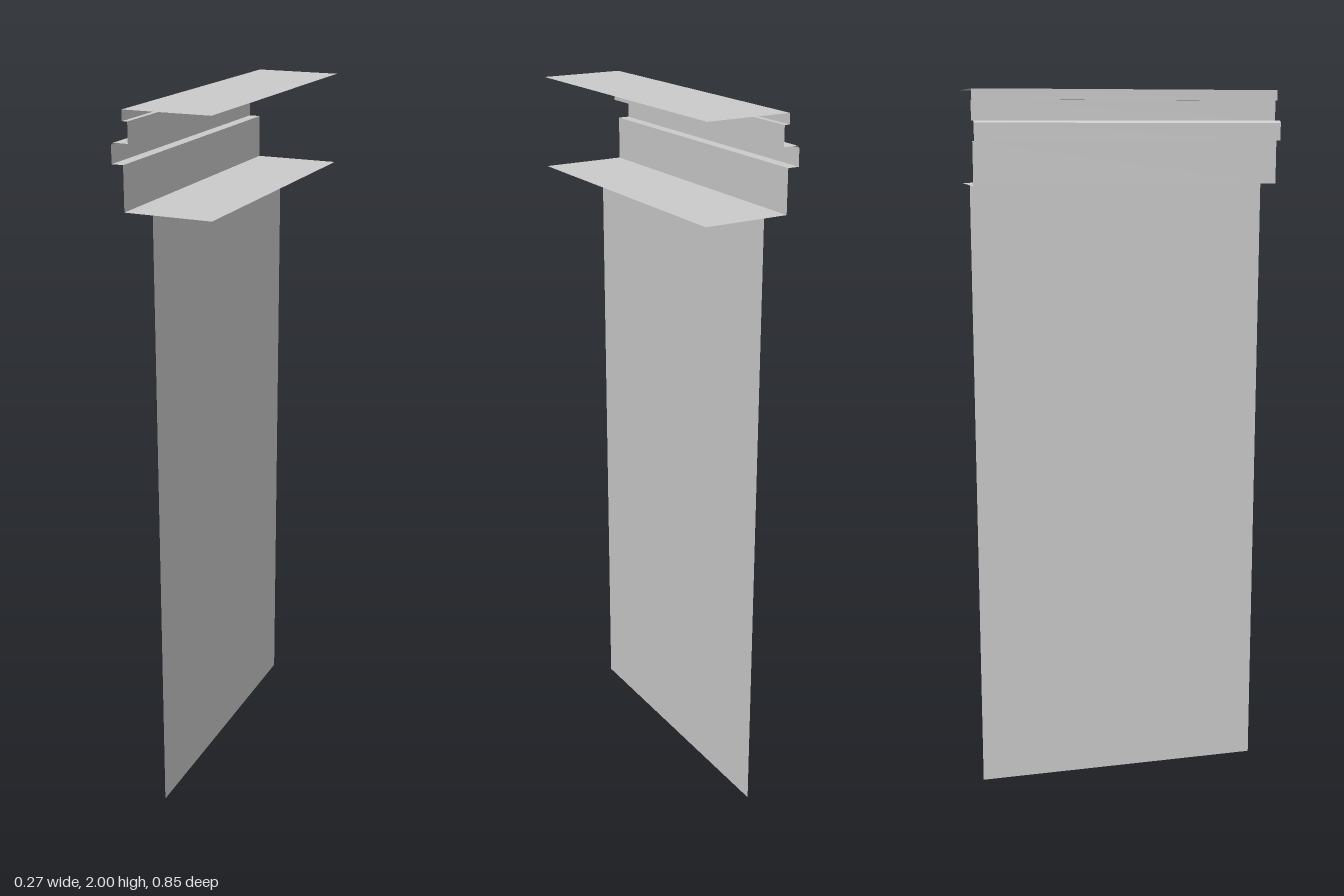
import * as THREE from 'three';

const material = new THREE.MeshStandardMaterial({ color: 0xcccccc, side: THREE.DoubleSide, flatShading: true });

// Thin folded sheet: sweeps an open [x, y] profile along z
function foldedSheet(name, profile, zBack, zFront) {
  const positions = [];
  for (let i = 0; i < profile.length - 1; i++) {
    const [ax, ay] = profile[i];
    const [bx, by] = profile[i + 1];
    positions.push(
      ax, ay, zBack, bx, by, zBack, bx, by, zFront,
      ax, ay, zBack, bx, by, zFront, ax, ay, zFront
    );
  }
  const geometry = new THREE.BufferGeometry();
  geometry.setAttribute('position', new THREE.Float32BufferAttribute(positions, 3));
  geometry.computeVertexNormals();
  const mesh = new THREE.Mesh(geometry, material);
  mesh.name = name;
  return mesh;
}

export function createModel() {
  const group = new THREE.Group();
  group.name = 'blindWithHeadrail';

  const zEnd = 0.425;
  const xFace = -0.105, xInner = -0.09, xOuter = -0.137, xOpen = 0.136;
  const yTop = 2, yBase = 1.747;

  // Flat flanges above and below
  group.add(foldedSheet('topFlange', [[xOpen, yTop], [xFace, yTop]], -zEnd, zEnd));
  group.add(foldedSheet('bottomFlange', [[xFace, yBase], [xOpen, yBase]], -zEnd, zEnd));

  // Stepped fascia: lip, recess, chamfered bead and lower wall
  group.add(foldedSheet('steppedFascia', [
    [xFace, yTop], [xFace, 1.972],
    [xInner, 1.972], [xInner, 1.918],
    [-0.131, 1.918], [xOuter, 1.912],
    [xOuter, 1.865], [xFace, 1.865],
    [xFace, yBase]
  ], -zEnd, zEnd));

  // Hanging panel, slightly short at the front end
  group.add(foldedSheet('hangingPanel', [[-0.036, yBase], [-0.036, 0]], -zEnd, 0.405));

  return group;
}
